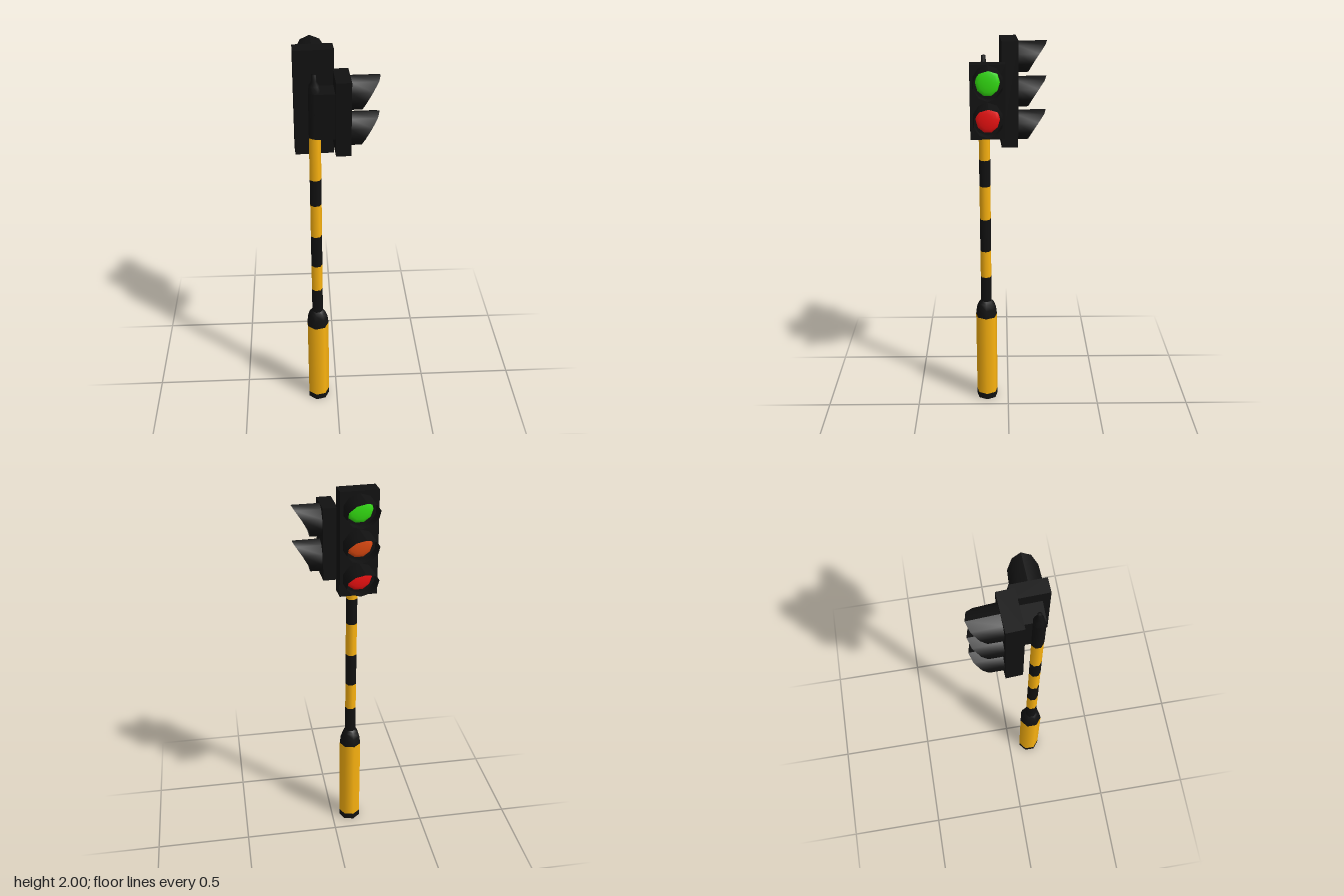
import * as THREE from 'three';

const paint = (color, side = THREE.FrontSide) => new THREE.MeshStandardMaterial({ color, side });
const BLACK = paint(0x111111);
const BLACK_THIN = paint(0x111111, THREE.DoubleSide);
const YELLOW = paint(0xfbb310);
const LENS = { green: paint(0x33e011), amber: paint(0xe04a10), red: paint(0xf01111) };

const SIDES = 7; // post is seven-sided with a corner towards +x
const POST_X = -0.102, POST_Z = 0.118;

function add(parent, name, geometry, material, x = 0, y = 0, z = 0) {
  const mesh = new THREE.Mesh(geometry, material);
  mesh.name = name;
  mesh.position.set(x, y, z);
  parent.add(mesh);
  return mesh;
}

// Open seven-sided section of the post between two heights
function section(parent, name, material, y0, y1, r0, r1 = r0) {
  const g = new THREE.CylinderGeometry(r1, r0, y1 - y0, SIDES, 1, true, Math.PI / 2);
  return add(parent, name, g, material, 0, (y0 + y1) / 2, 0);
}

// Tubular visor along +z, long at the top and cut back in a curve underneath
function visorGeometry(rx, ry, length) {
  const g = new THREE.CylinderGeometry(1, 1, 1, 10, 1, true);
  const p = g.attributes.position;
  for (let i = 0; i < p.count; i++) {
    const s = p.getX(i), c = p.getZ(i), outer = p.getY(i) > 0;
    const reach = 0.05 + (length - 0.05) * Math.pow(Math.max(0, (1 + c) / 2), 1.5);
    const taper = outer ? 0.96 : 1;
    p.setXYZ(i, -s * rx * taper, c * ry, outer ? reach : 0);
  }
  g.computeVertexNormals();
  return g;
}

// Signal head facing +z: housing plus one lens and visor per lamp
function signalHead({ name, size, rx, ry, length, lamps }) {
  const head = new THREE.Group();
  head.name = name;
  const [w, h, d] = size;
  add(head, 'housing', new THREE.BoxGeometry(w, h, d), BLACK);
  const dome = new THREE.SphereGeometry(1, 10, 4, 0, Math.PI * 2, 0, Math.PI / 2).rotateX(Math.PI / 2);
  const visor = visorGeometry(rx, ry, length);
  for (const [color, y] of lamps) {
    add(head, color + 'Lens', dome, LENS[color], 0, y, d / 2).scale.set(rx * 0.8, ry * 0.84, 0.014);
    add(head, color + 'Visor', visor, BLACK_THIN, 0, y, d / 2);
  }
  return head;
}

export function createModel() {
  const model = new THREE.Group();
  model.name = 'trafficLight';

  const post = new THREE.Group();
  post.name = 'post';
  post.position.set(POST_X, 0, POST_Z);
  model.add(post);

  // Base sleeve with a dark foot band and a tapered collar
  const R = 0.0585, r = 0.029;
  section(post, 'footBand', BLACK, 0, 0.035, R);
  add(post, 'footRing', new THREE.RingGeometry(0.038, R, SIDES, 1).rotateX(Math.PI / 2), BLACK);
  add(post, 'footPlate', new THREE.CircleGeometry(0.038, SIDES).rotateX(Math.PI / 2), YELLOW);
  section(post, 'baseSleeve', YELLOW, 0.035, 0.515, R);
  const collar = [[R, 0.515], [0.053, 0.56], [0.042, 0.59], [r, 0.605]].map(([x, y]) => new THREE.Vector2(x, y));
  add(post, 'collar', new THREE.LatheGeometry(collar, SIDES, Math.PI / 2), BLACK);

  // Alternating dark and yellow bands up the pole
  const levels = [0.6, 0.75, 0.9, 1.08, 1.26, 1.4, 1.62, 1.84];
  for (let i = 0; i < levels.length - 1; i++) {
    section(post, 'poleBand' + (i + 1), i % 2 ? YELLOW : BLACK, levels[i], levels[i + 1], r);
  }
  const tip = [[r, 1.84], [0.024, 1.87], [0.012, 1.89], [0.011, 1.92], [0, 1.92]].map(([x, y]) => new THREE.Vector2(x, y));
  add(post, 'poleTip', new THREE.LatheGeometry(tip, SIDES, Math.PI / 2), BLACK);

  // Bracket joining the pole to the side head
  add(model, 'bracket', new THREE.BoxGeometry(0.095, 0.22, 0.1), BLACK, -0.055, 1.73, 0.1);

  // Three-lamp head facing the back
  const rear = signalHead({
    name: 'rearHead', size: [0.183, 0.51, 0.08], rx: 0.08, ry: 0.075, length: 0.143,
    lamps: [['green', 0.168], ['amber', 0], ['red', -0.165]],
  });
  rear.position.set(-0.102, 1.745, -0.003);
  rear.rotation.y = Math.PI + 0.06;
  model.add(rear);

  // Two-lamp head facing the model's left
  const side = signalHead({
    name: 'sideHead', size: [0.167, 0.355, 0.07], rx: 0.073, ry: 0.08, length: 0.135,
    lamps: [['green', 0.097], ['red', -0.078]],
  });
  side.position.set(0.024, 1.728, 0.099);
  side.rotation.y = Math.PI / 2 + 0.04;
  model.add(side);

  return model;
}
